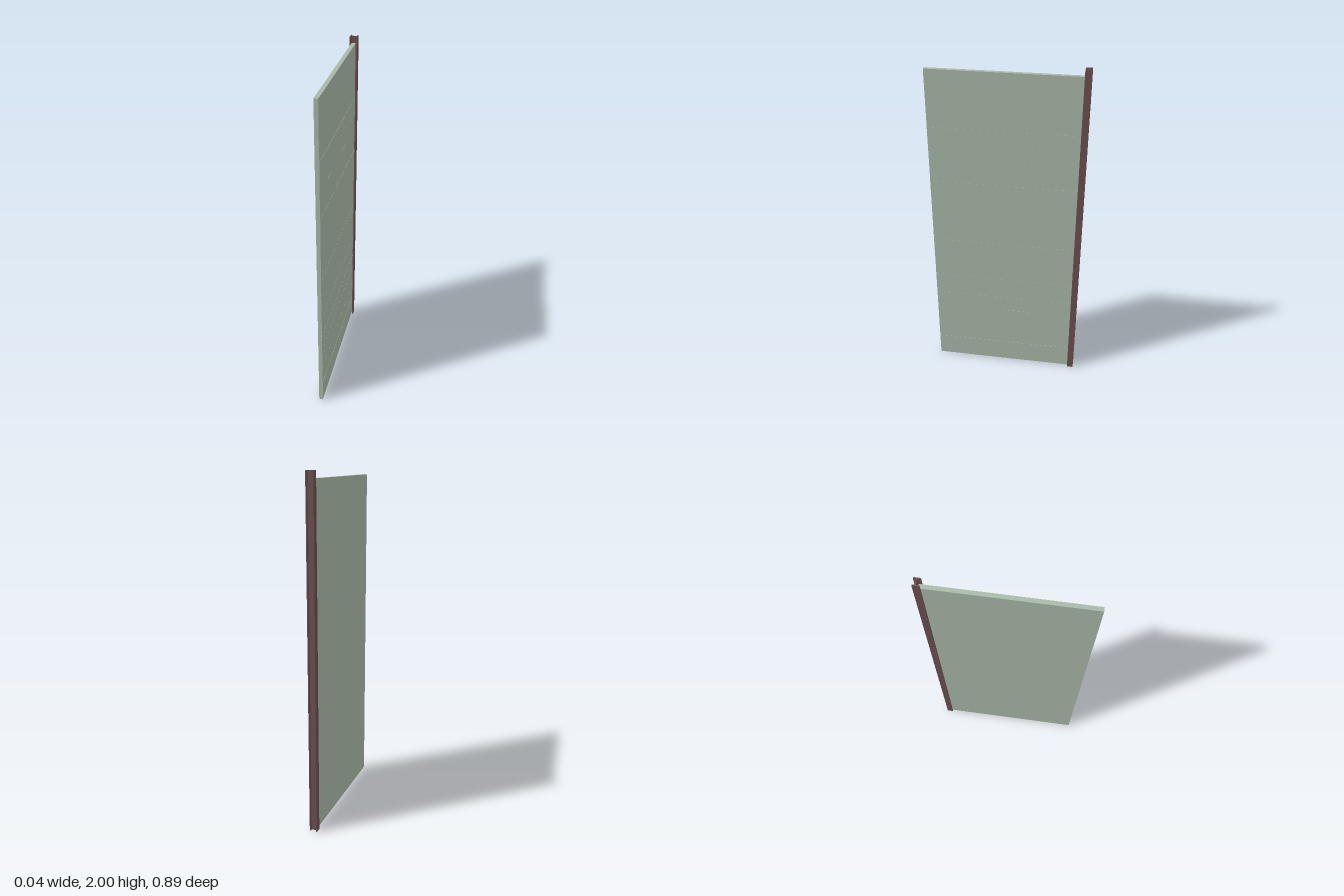
import * as THREE from 'three';

// Extrude an outline made of [x, y] pairs
function extrude(points, depth) {
  const shape = new THREE.Shape(points.map(([x, y]) => new THREE.Vector2(x, y)));
  return new THREE.ExtrudeGeometry(shape, { depth, bevelEnabled: false });
}

function seeded(seed) {
  return () => (seed = (seed * 16807) % 2147483647) / 2147483647;
}

export function createModel() {
  const group = new THREE.Group();
  const steel = new THREE.MeshStandardMaterial({ color: 0x6b4e4e });
  const board = new THREE.MeshStandardMaterial({ color: 0xa9b8a8 });

  // H-section post, full height, along the back edge
  const post = new THREE.Group();
  post.name = 'post';
  const addPost = (name, w, d, x) => {
    const mesh = new THREE.Mesh(new THREE.BoxGeometry(w, 2, d), steel);
    mesh.name = name;
    mesh.position.set(x, 1, -0.425);
    post.add(mesh);
  };
  addPost('leftFlange', 0.006, 0.037, 0.019);
  addPost('rightFlange', 0.006, 0.037, -0.019);
  addPost('web', 0.032, 0.006, 0);
  group.add(post);

  // Wall panel: flat right face, slightly uneven boards on the left face
  const rand = seeded(17);
  const rows = 30, bottom = 0.005, top = 1.96;
  const outline = [[-0.013, top], [-0.013, bottom]];
  let y = bottom;
  for (let i = 0; i < rows; i++) {
    const x = 0.0095 + rand() * 0.0015;
    const next = i === rows - 1 ? top : bottom + ((i + 0.7 + rand() * 0.6) / rows) * (top - bottom);
    outline.push([x, y], [x, next]);
    y = next;
  }
  const panel = new THREE.Mesh(extrude(outline, 0.864), board);
  panel.name = 'wallPanel';
  panel.position.z = -0.421;
  group.add(panel);

  return group;
}
